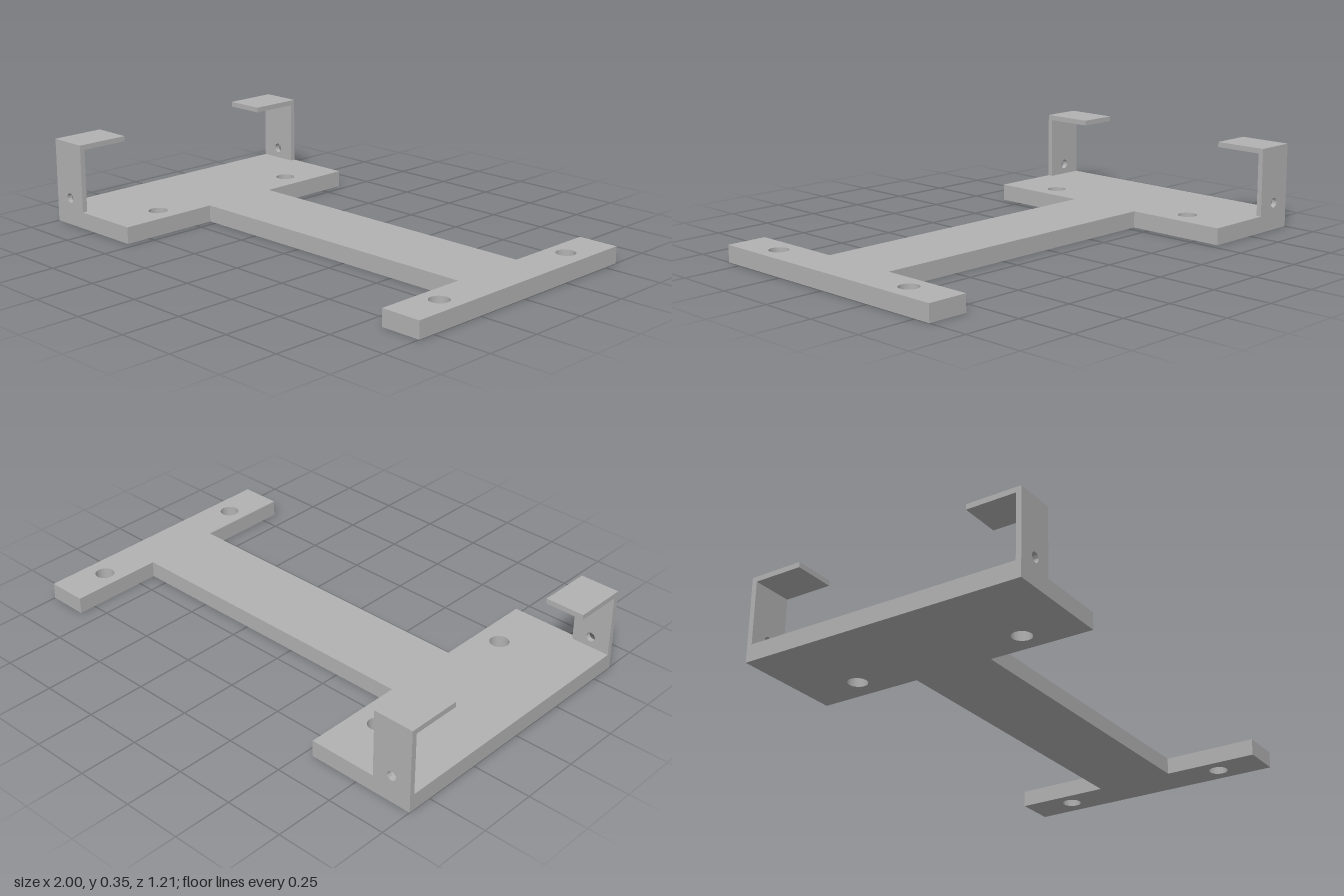
import * as THREE from 'three';
import { toCreasedNormals } from 'three/addons/utils/BufferGeometryUtils.js';

const PLATE = 0.07, TOP = 0.355, SHEET = 0.022, BACK = 0.607;

// Extrude an outline with round holes [x, y, radius] along +z
function plate(points, holes, depth) {
  const shape = new THREE.Shape(points.map(([x, y]) => new THREE.Vector2(x, y)));
  for (const [x, y, r] of holes) {
    const hole = new THREE.Path();
    hole.absarc(x, y, r, 0, Math.PI * 2, true);
    shape.holes.push(hole);
  }
  const geo = new THREE.ExtrudeGeometry(shape, { depth, bevelEnabled: false, curveSegments: 32 });
  return toCreasedNormals(geo, 0.6);
}

export function createModel() {
  const group = new THREE.Group();
  const grey = new THREE.MeshStandardMaterial({ color: 0xb2b2b2 });
  grey.name = 'grey';

  const add = (name, geo, parent = group) => {
    const mesh = new THREE.Mesh(geo, grey);
    mesh.name = name;
    parent.add(mesh);
    return mesh;
  };

  // Flat base: wide end, narrow beam and crossbar in one outline, with four screw holes
  const half = [[-1, BACK], [-0.535, BACK], [-0.535, 0.169], [0.828, 0.169], [0.828, 0.572], [1, 0.572]];
  const outline = [...half, ...half.map(([x, z]) => [x, -z]).reverse()];
  const screws = [[-0.64, 0.369, 0.04], [-0.632, -0.369, 0.04], [0.909, 0.369, 0.04], [0.912, -0.369, 0.04]];
  const base = plate(outline.reverse(), screws, PLATE);
  base.rotateX(-Math.PI / 2);
  add('basePlate', base);

  // Two hooked brackets on the wide end, facing each other
  for (const side of [1, -1]) {
    const bracket = new THREE.Group();
    bracket.name = side > 0 ? 'frontBracket' : 'backBracket';
    const x1 = side > 0 ? -0.831 : -0.827;
    const lipEnd = 0.377, lipDepth = BACK - SHEET - lipEnd;

    // Upright with a small pin hole
    const wall = plate([[-1, PLATE], [x1, PLATE], [x1, TOP], [-1, TOP]], [[-0.914, 0.115, 0.02]], SHEET);
    wall.translate(0, 0, side > 0 ? BACK - SHEET : -BACK);
    add('upright', wall, bracket);

    // Lip turned inwards at the top
    const lip = add('lip', new THREE.BoxGeometry(x1 + 1, SHEET, lipDepth), bracket);
    lip.position.set((x1 - 1) / 2, TOP - SHEET / 2, side * (lipEnd + lipDepth / 2));
    group.add(bracket);
  }
  return group;
}
